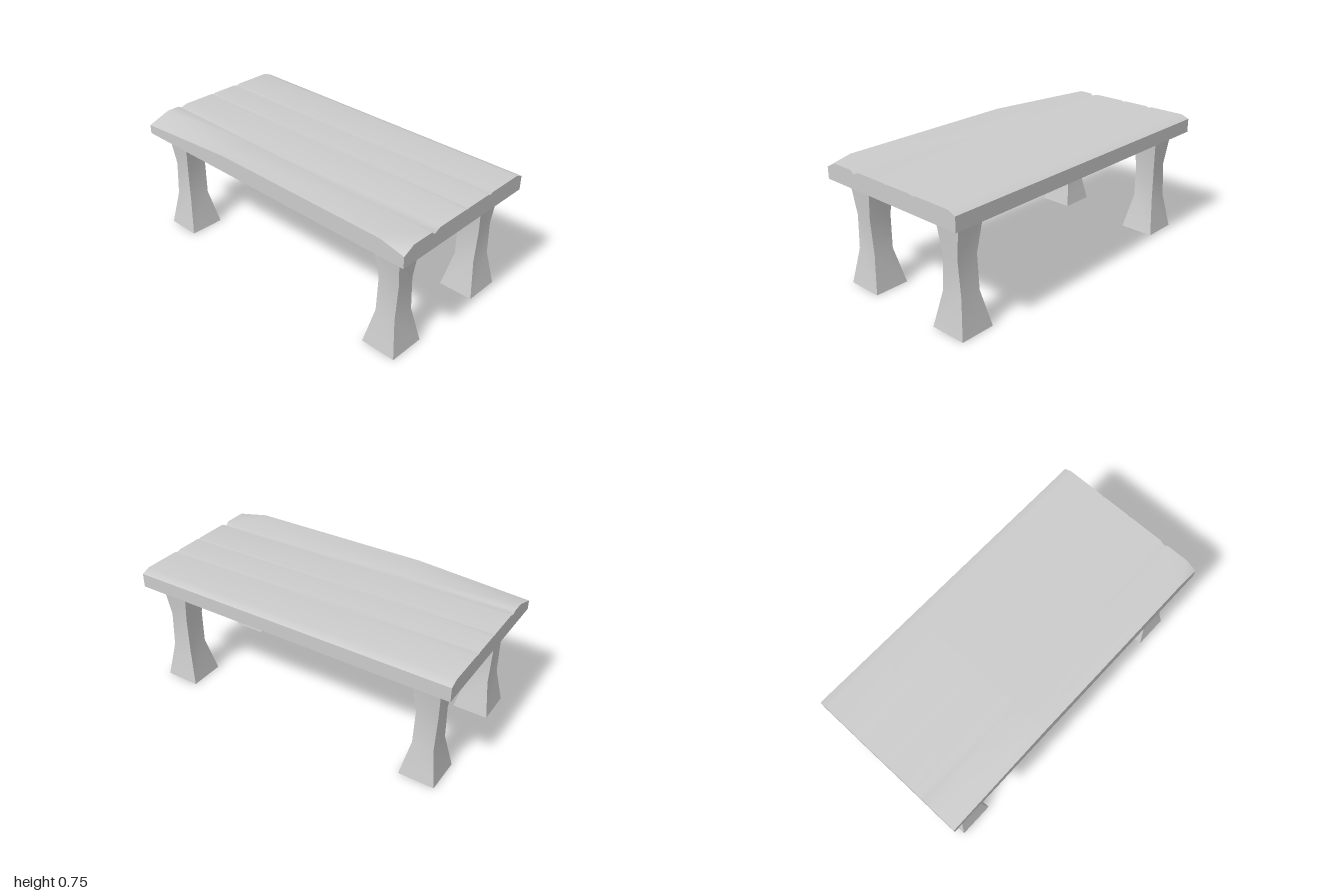
import * as THREE from 'three';
import { mergeGeometries } from 'three/addons/utils/BufferGeometryUtils.js';

const material = new THREE.MeshStandardMaterial({ color: 0xcccccc });
const UNDERSIDE = 0.645;

// Smooth sheet over a grid of [x, y, z] points; the row direction crossed with the column direction faces out.
function sheet(grid, flip = false) {
  const cols = grid[0].length, index = [];
  for (let i = 0; i < grid.length - 1; i++) {
    for (let j = 0; j < cols - 1; j++) {
      const a = i * cols + j, b = a + 1, c = a + cols, d = c + 1;
      index.push(...(flip ? [a, c, b, b, c, d] : [a, b, c, b, d, c]));
    }
  }
  const g = new THREE.BufferGeometry();
  g.setAttribute('position', new THREE.Float32BufferAttribute(grid.flat(2), 3));
  g.setIndex(index);
  g.computeVertexNormals();
  return g;
}

// Tabletop cross-sections: x, front edge height, z where the worn front edge begins
const stations = [
  [-1, 0.70, 0.36], [-0.3, 0.748, 0.45], [0.85, 0.748, 0.45], [1, 0.715, 0.43],
];

function topProfile([x, frontY, foldZ]) {
  const t = (x + 1) / 2, groove = 0.258 + 0.01 * t;
  return [
    [-0.5, 0.73], [-0.45, 0.75],
    [-0.22, 0.75], [-0.2, 0.743], [-0.18, 0.75],
    [-0.012, 0.75], [0, 0.744], [0.012, 0.75],
    [groove - 0.038, 0.75], [groove, 0.738 - 0.008 * t], [groove + 0.025, 0.75],
    [foldZ, 0.75], [0.5, frontY],
  ].map(([z, y]) => [x, y, z]);
}

function tabletop() {
  const top = stations.map(topProfile);
  const drop = ([x, , z]) => [x, UNDERSIDE, z];
  const back = top.map((row) => row[0]);
  const front = top.map((row) => row[row.length - 1]);
  const endWall = (row) => row.map((p) => [drop(p), p]);
  return mergeGeometries([
    sheet(top),
    sheet([front.map(drop), front]),
    sheet([back.map(drop), back], true),
    sheet(endWall(top[top.length - 1])),
    sheet(endWall(top[0]), true),
    sheet([back.map(drop), front.map(drop)]),
  ]);
}

// Leg levels: y, inner x, outer x, inner z, outer z, pinch of the outer corners
const levels = [
  [0, 0.725, 0.94, 0.235, 0.455, 0],
  [0.22, 0.775, 0.902, 0.28, 0.415, 0],
  [0.43, 0.772, 0.905, 0.283, 0.41, 0.01],
  [UNDERSIDE, 0.75, 0.92, 0.26, 0.43, 0],
];

function leg(sx, sz) {
  const flip = sx * sz < 0;
  const rings = levels.map(([y, x0, x1, z0, z1, pinch]) => [
    [x1, z1 - pinch], [x1, z0 + pinch], [x0, z0], [x0 + pinch, z1],
  ].map(([x, z]) => [sx * x, y, sz * z]));
  // Each side has its own vertices, so the corners stay sharp
  const sides = [0, 1, 2, 3].map((k) =>
    sheet(rings.map((r) => [r[k], r[(k + 1) % 4]]), flip));
  const cap = (r, f) => sheet([[r[0], r[1]], [r[3], r[2]]], f);
  return mergeGeometries([...sides, cap(rings[0], !flip), cap(rings[3], flip)]);
}

export function createModel() {
  const table = new THREE.Group();
  table.name = 'table';
  const add = (name, geometry) => {
    const mesh = new THREE.Mesh(geometry, material);
    mesh.name = name;
    table.add(mesh);
  };

  add('tabletop', tabletop());
  for (const [sx, side] of [[1, 'Left'], [-1, 'Right']]) {
    for (const [sz, end] of [[1, 'front'], [-1, 'back']]) {
      add(`${end}${side}Leg`, leg(sx, sz));
    }
  }
  return table;
}
